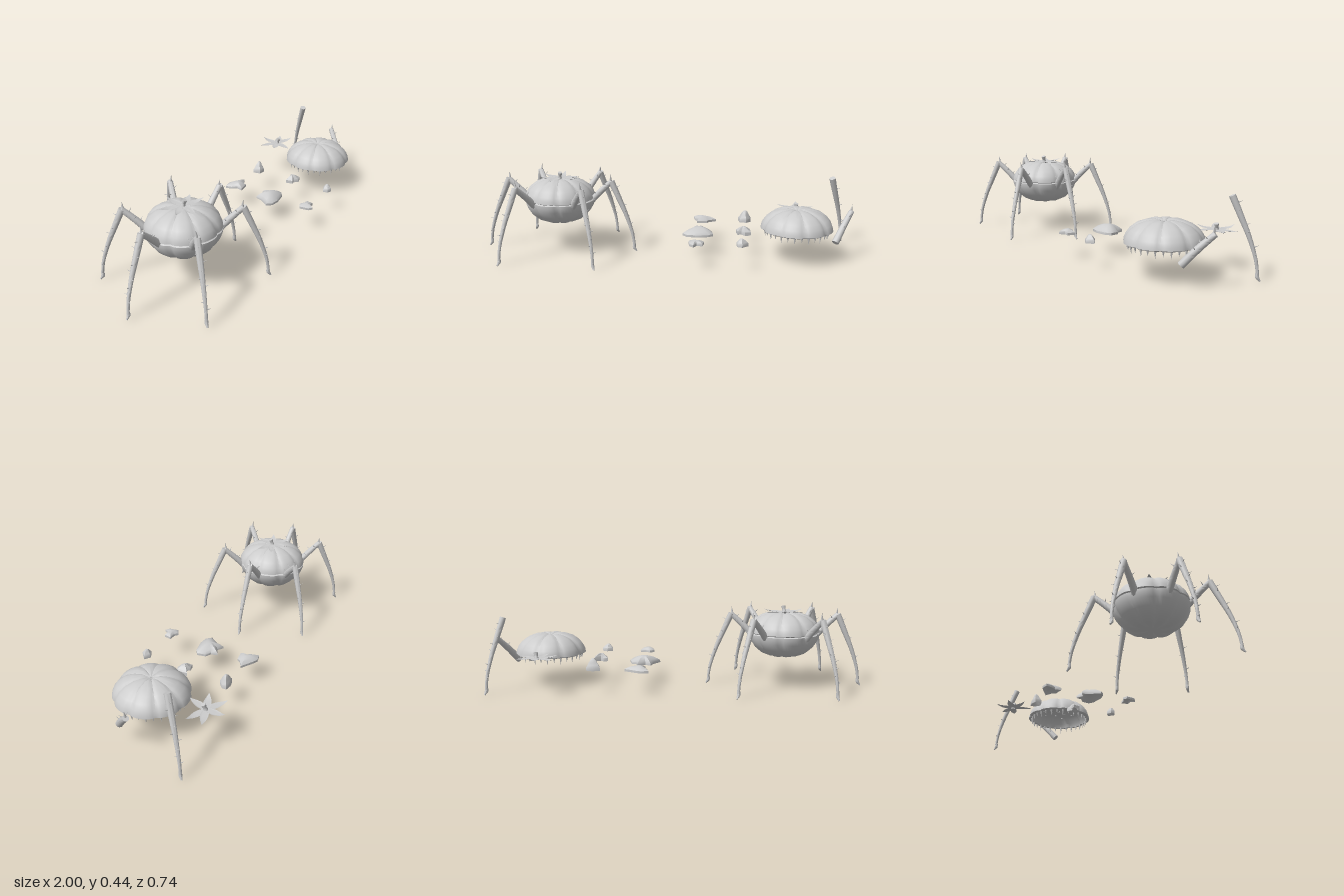
import * as THREE from 'three';
import { mergeVertices, toCreasedNormals } from 'three/addons/utils/BufferGeometryUtils.js';

const MAT = new THREE.MeshStandardMaterial({ color: 0xcccccc, side: THREE.DoubleSide });
const V = (x, y, z = 0) => new THREE.Vector3(x, y, z);
const UP = V(0, 1, 0);

function add(parent, name, geo, x = 0, y = 0, z = 0) {
  const m = new THREE.Mesh(geo, MAT);
  m.name = name;
  m.position.set(x, y, z);
  parent.add(m);
  return m;
}

function group(parent, name, x = 0, y = 0, z = 0) {
  const g = new THREE.Group();
  g.name = name;
  g.position.set(x, y, z);
  parent.add(g);
  return g;
}

// Weld seams, then smooth everything except sharp edges
function finish(geo, crease = 0.7) {
  geo.deleteAttribute('uv');
  geo.deleteAttribute('normal');
  return toCreasedNormals(mergeVertices(geo, 1e-5), crease);
}

// Lathe with nine soft lobes, like a ribbed fruit
function lobedLathe(profile, crease) {
  const geo = new THREE.LatheGeometry(profile.map(([r, y]) => new THREE.Vector2(r, y)), 72);
  const p = geo.attributes.position;
  for (let i = 0; i < p.count; i++) {
    const a = Math.atan2(p.getZ(i), p.getX(i));
    const k = 1 - 0.05 * (1 - Math.abs(Math.sin(4.5 * a))) ** 2;
    const groove = 0.004 * (1 - Math.abs(Math.sin(4.5 * a))) ** 2 * Math.min(1, Math.abs(p.getY(i)) / 0.06);
    p.setXYZ(i, p.getX(i) * k, p.getY(i) - Math.sign(p.getY(i)) * groove, p.getZ(i) * k);
  }
  return finish(geo, crease);
}

// Tube whose radius follows a list, closed at both ends
function taperTube(points, radii, n = 24, sides = 10) {
  const curve = new THREE.CatmullRomCurve3(points);
  const geo = new THREE.TubeGeometry(curve, n, 1, sides);
  const p = geo.attributes.position, v = V(0, 0);
  for (let i = 0; i <= n; i++) {
    const c = curve.getPointAt(i / n);
    const to = i === 1 ? curve.getPointAt(0) : i === n - 1 ? curve.getPointAt(1) : c;
    const f = (i / n) * (radii.length - 1), k = Math.min(Math.floor(f), radii.length - 2);
    const r = i === 0 || i === n ? 0 : THREE.MathUtils.lerp(radii[k], radii[k + 1], f - k);
    for (let j = 0; j <= sides; j++) {
      const q = i * (sides + 1) + j;
      v.fromBufferAttribute(p, q).sub(c).multiplyScalar(r).add(to);
      p.setXYZ(q, v.x, v.y, v.z);
    }
  }
  return finish(geo);
}

function thorn(parent, at, dir, len, r = 0.005) {
  const d = dir.clone().normalize();
  const m = add(parent, 'thorn', new THREE.ConeGeometry(r, len, 7));
  m.quaternion.setFromUnitVectors(UP, d);
  m.position.copy(at).addScaledVector(d, len / 2);
}

// Leg parts lie in the local x-y plane, x pointing away from the body
function upperLeg(parent) {
  const g = group(parent, 'upperLeg'), a = V(0.145, 0.25), b = V(0.288, 0.392);
  add(g, 'thigh', taperTube([a, V(0.215, 0.324), b], [0.019, 0.017, 0.014]));
  [[0.45, 1], [0.62, -1], [0.8, 1]].forEach(([t, s]) =>
    thorn(g, a.clone().lerp(b, t), V(-0.5, 0.8, 0.8 * s), 0.04));
  thorn(g, V(0.28, 0.39), V(0.1, 1, 0.15), 0.042, 0.008);
  return g;
}

function lowerLeg(parent) {
  const g = group(parent, 'lowerLeg');
  const pts = [V(0.285, 0.392), V(0.325, 0.3), V(0.367, 0.2), V(0.398, 0.1), V(0.408, 0.035)];
  add(g, 'shin', taperTube(pts, [0.017, 0.015, 0.012, 0.009, 0.007]));
  add(g, 'claw', taperTube([V(0.406, 0.04), V(0.407, 0.022), V(0.42, 0.003)], [0.008, 0.009, 0.003], 10, 8));
  const curve = new THREE.CatmullRomCurve3(pts);
  for (let i = 0; i < 9; i++) {
    const side = [0, 1, -1][i % 3];
    thorn(g, curve.getPointAt(0.1 + i * 0.095), V(side ? 0.3 : 1, 0.4, side), 0.034 - i * 0.0012, 0.0045);
  }
  return g;
}

// Pointed folded leaf along +x with a curled tip
function leafGeometry(len, curl) {
  const geo = new THREE.PlaneGeometry(1, 1, 10, 4);
  const p = geo.attributes.position;
  for (let i = 0; i < p.count; i++) {
    const s = p.getX(i) + 0.5, t = p.getY(i) * 2;
    const w = 0.006 * (1 - s) + 0.016 * Math.sin(Math.PI * s ** 0.8);
    p.setXYZ(i, s * len, 0.004 - 0.008 * s + curl * s ** 4 + 0.005 * Math.abs(t) * Math.sin(Math.PI * s), -t * w);
  }
  return finish(geo, 1.2);
}

function calyx(parent, x, y, z) {
  const g = group(parent, 'calyx', x, y, z);
  [[-87, 0.104, 0.024], [-21, 0.112, 0.012], [20, 0.117, 0.018], [108, 0.115, 0.01], [158, 0.108, 0.02], [211, 0.117, 0.014]]
    .forEach(([deg, len, curl]) => {
      add(g, 'leaf', leafGeometry(len, curl)).rotation.y = -deg * Math.PI / 180;
    });
  add(g, 'stem', taperTube([V(0, -0.005), V(0.002, 0.012, 0.003), V(0.006, 0.034, 0.009)], [0.014, 0.009, 0.012], 12));
}

// Curved skin scrap: outline in hundredths [x, z], lofted over a dome and back beneath
function fragment(parent, name, outline, y, rise, power, thick) {
  const n = outline.length;
  const cx = outline.reduce((s, o) => s + o[0], 0) / n, cz = outline.reduce((s, o) => s + o[1], 0) / n;
  const steps = [0, 0.2, 0.4, 0.6, 0.8, 1], pos = [], index = [];
  const rings = [...steps.map(t => [t, 0]), ...steps.slice().reverse().map(t => [t, thick])];
  for (const [t, drop] of rings)
    for (const [ox, oz] of outline)
      pos.push((cx + (ox - cx) * t) / 100, y + rise * (1 - t * t) ** power - drop, (cz + (oz - cz) * t) / 100);
  for (let i = 0; i < rings.length - 1; i++)
    for (let j = 0; j < n; j++) {
      const a = i * n + j, b = i * n + (j + 1) % n;
      index.push(a, b + n, b, a, a + n, b + n);
    }
  const geo = new THREE.BufferGeometry();
  geo.setAttribute('position', new THREE.Float32BufferAttribute(pos, 3));
  geo.setIndex(index);
  add(parent, name, finish(geo, 0.8));
}

export function createModel() {
  const root = new THREE.Group();
  root.name = 'spiderFruit';

  const dome = [[0.181, -0.002], [0.19, 0.003], [0.188, 0.018], [0.18, 0.038], [0.162, 0.063], [0.13, 0.087],
    [0.09, 0.102], [0.05, 0.108], [0.025, 0.105], [0, 0.098]];
  const bowl = [[0, -0.128], [0.04, -0.13], [0.085, -0.125], [0.125, -0.108], [0.158, -0.08], [0.179, -0.047],
    [0.189, -0.02], [0.19, -0.006], [0.181, -0.001]];

  // Whole creature
  const creature = group(root, 'creature', -0.58, 0, 0.03);
  add(creature, 'upperBody', lobedLathe(dome), 0, 0.295, 0);
  add(creature, 'lowerBody', lobedLathe(bowl), 0, 0.295, 0);
  calyx(creature, 0, 0.4, 0);
  [0, 52.5, 127.5, 180, 232.5, 307.5].forEach(deg => {
    const leg = group(creature, 'leg');
    leg.rotation.y = -deg * Math.PI / 180;
    upperLeg(leg);
    lowerLeg(leg);
  });

  // Separate hollow upper shell with teeth and inner seeds
  const shell = group(root, 'upperShell', 0.7, 0.165, 0.03);
  const inner = [[0, 0.08], [0.08, 0.075], [0.13, 0.055], [0.16, 0.022], [0.168, -0.002]];
  add(shell, 'shell', lobedLathe([...inner, ...dome]));
  for (let i = 0; i < 30; i++) {
    const a = i / 30 * Math.PI * 2, len = i % 2 ? 0.03 : 0.04;
    const at = V(Math.cos(a) * 0.17, 0.002, Math.sin(a) * 0.17);
    thorn(shell, at, V(-0.08 * Math.cos(a), -1, -0.08 * Math.sin(a)), len, 0.007);
  }
  for (let i = 0; i < 36; i++) {
    const r = 0.145 * Math.sqrt((i + 0.5) / 36), a = i * 2.4;
    const seed = add(shell, 'seed', new THREE.SphereGeometry(0.006, 8, 6),
      Math.cos(a) * r, 0.08 - 1.6 * r * r, Math.sin(a) * r);
    seed.scale.set(1.2, 0.8, 0.8);
    seed.rotation.y = a;
  }

  // Loose calyx and leg pieces
  calyx(root, 0.705, 0.19, -0.27);
  const shin = lowerLeg(root), thigh = upperLeg(root);
  shin.position.set(0.72, 0, 0.03);
  thigh.position.set(0.81, -0.14, 0.195);
  shin.rotation.y = thigh.rotation.y = 52.5 * Math.PI / 180;

  // Skin scraps
  fragment(root, 'largeScrap', [[13, -25], [17, -26], [20, -24.5], [26, -21], [22, -18.5], [21, -16.5], [15.5, -15.5],
    [16, -19], [14, -21.5]], 0.13, 0.02, 1, 0.012);
  fragment(root, 'largeScrap', [[9.5, 5.5], [13, 0], [14, -4], [17, -2], [21, -4.5], [22, -1], [25, 0.5], [26, 5],
    [23.5, 7], [16.5, 8.5], [12, 8]], 0.122, 0.033, 1, 0.012);
  fragment(root, 'largeScrap', [[14.5, 24], [17, 22.5], [19, 24], [22.5, 24], [22, 28], [19, 28], [17.5, 30.5],
    [15.5, 29]], 0.14, 0.015, 1, 0.012);
  fragment(root, 'smallScrap', [[38.5, -23], [42, -24], [45.5, -23.5], [45.5, -21], [43, -18.5], [39.5, -19]],
    0.142, 0.045, 1.5, 0.02);
  fragment(root, 'smallScrap', [[38, 0.5], [40.5, 0], [42, 1.5], [45.5, -1], [46, 5], [43, 6], [41, 4], [39, 4.5]],
    0.14, 0.025, 1.5, 0.018);
  fragment(root, 'smallScrap', [[39, 25], [42, 23.5], [45, 25.5], [42, 28.5], [39.5, 27.5]], 0.148, 0.024, 1.5, 0.018);

  return root;
}
